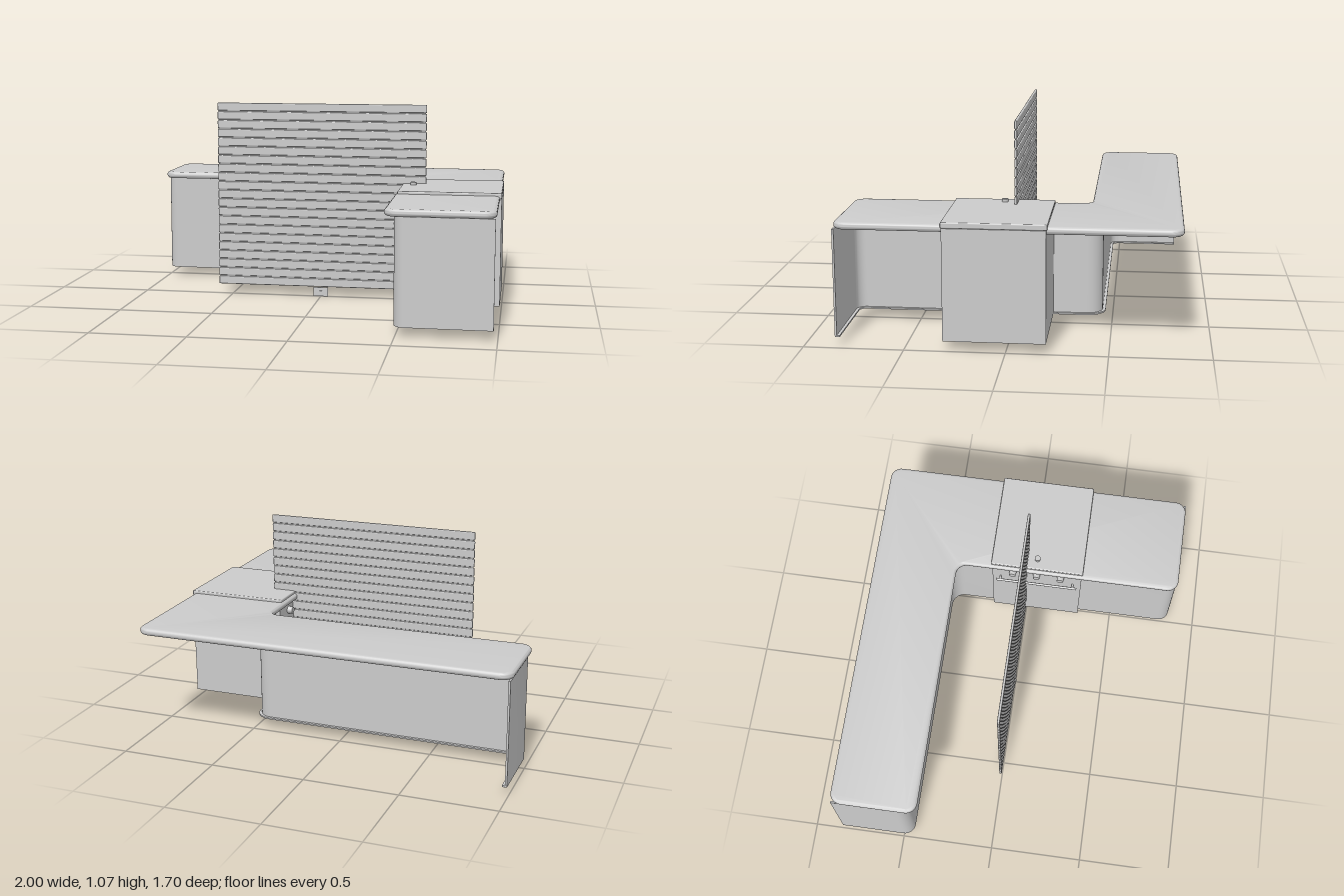
import * as THREE from 'three';
import { toCreasedNormals } from 'three/addons/utils/BufferGeometryUtils.js';
import { RoundedBoxGeometry } from 'three/addons/geometries/RoundedBoxGeometry.js';

const grey = new THREE.MeshStandardMaterial({ color: 0xcccccc, side: THREE.DoubleSide });

function add(parent, name, geometry, x = 0, y = 0, z = 0) {
  const mesh = new THREE.Mesh(geometry, grey);
  mesh.name = name;
  mesh.position.set(x, y, z);
  parent.add(mesh);
  return mesh;
}

const box = (w, h, d) => new THREE.BoxGeometry(w, h, d);

// Closed floor-plan outline from [x, z, cornerRadius] points
function plan(points) {
  const shape = new THREE.Shape();
  const n = points.length;
  points.forEach(([x, z, r], i) => {
    const p = new THREE.Vector2(x, -z);
    const toward = ([qx, qz]) => new THREE.Vector2(qx, -qz).sub(p).setLength(r).add(p);
    const a = r ? toward(points[(i + n - 1) % n]) : p;
    const b = r ? toward(points[(i + 1) % n]) : p;
    if (i === 0) shape.moveTo(a.x, a.y);
    else shape.lineTo(a.x, a.y);
    if (r) {
      const k = 0.448; // circular corner as a cubic
      const c1 = p.clone().lerp(a, k), c2 = p.clone().lerp(b, k);
      shape.bezierCurveTo(c1.x, c1.y, c2.x, c2.y, b.x, b.y);
    }
  });
  shape.closePath();
  return shape;
}

// Raise a plan outline from y0 to y1, with an optional rounded edge
function raise(shape, y0, y1, bevel = 0) {
  const g = new THREE.ExtrudeGeometry(shape, {
    depth: y1 - y0 - 2 * bevel, curveSegments: 8, bevelEnabled: bevel > 0,
    bevelThickness: bevel, bevelSize: bevel, bevelOffset: -bevel, bevelSegments: 5,
  });
  g.rotateX(-Math.PI / 2).translate(0, y0 + bevel, 0);
  return toCreasedNormals(g, 0.7);
}

// Thin panel following the knee side of the counter, open at the outer sides
function wallPlan(t) {
  return plan([
    [-0.995, -0.845, 0], [-0.995, -0.44, 0.06], [0.49, -0.44, 0.07], [0.49, 0.845, 0.06], [0.98, 0.845, 0],
    [0.98, 0.845 - t, 0], [0.49 + t, 0.845 - t, 0.06 - t], [0.49 + t, -0.44 - t, 0.07 + t],
    [-0.995 + t, -0.44 - t, 0.06 - t], [-0.995 + t, -0.845, 0],
  ]);
}

export function createModel() {
  const model = new THREE.Group();
  model.name = 'cornerCounter';

  // L-shaped worktop with rounded edge
  const top = plan([
    [-1, -0.85, 0.06], [-1, -0.39, 0.06], [0.44, -0.39, 0.06],
    [0.44, 0.845, 0.06], [0.985, 0.845, 0.06], [0.985, -0.85, 0.06],
  ]);
  add(model, 'worktop', raise(top, 0.593, 0.63, 0.017));

  // Wall panel and its foot flange
  add(model, 'wallPanel', raise(wallPlan(0.01), 0.05, 0.596));
  add(model, 'footFlange', raise(wallPlan(0.025), 0.05, 0.058));

  // Cabinet let into the right arm
  const cabinet = new THREE.Group();
  cabinet.name = 'cabinet';
  model.add(cabinet);
  add(cabinet, 'cabinetBody', box(0.53, 0.565, 0.505), 0.73, 0.3325, 0.056);
  add(cabinet, 'cabinetLid', new RoundedBoxGeometry(0.54, 0.03, 0.515, 2, 0.006), 0.725, 0.63, 0.056);
  add(cabinet, 'topKnob', new THREE.CylinderGeometry(0.016, 0.016, 0.016, 20), 0.515, 0.652, 0.052);
  for (const z of [-0.08, 0.055, 0.19]) {
    const knob = add(cabinet, 'controlKnob', new THREE.CylinderGeometry(0.018, 0.021, 0.03, 20), 0.452, 0.553, z);
    knob.rotation.z = Math.PI / 2;
  }

  // Door handle on two posts
  const handle = new THREE.Group();
  handle.name = 'doorHandle';
  cabinet.add(handle);
  const bar = add(handle, 'handleBar', new THREE.CylinderGeometry(0.007, 0.007, 0.46, 12), 0.44, 0.468, 0.056);
  bar.rotation.x = Math.PI / 2;
  for (const z of [-0.15, 0.262]) add(handle, 'handlePost', box(0.03, 0.01, 0.01), 0.453, 0.468, z);

  // Slatted screen
  const screen = new THREE.Group();
  screen.name = 'slattedScreen';
  model.add(screen);
  const slats = 21, pitch = 1.025 / slats;
  for (let i = 0; i < slats; i++) {
    add(screen, 'slat', new RoundedBoxGeometry(1.16, pitch - 0.005, 0.014, 2, 0.005), 0, 0.05 + pitch * (i + 0.5), -0.008);
  }
  // Narrow joints behind the gaps
  add(screen, 'slatJoint', box(1.15, 1.015, 0.004), 0, 0.5625, -0.008);

  // Small tab under the screen
  add(screen, 'bottomTab', box(0.08, 0.05, 0.005), 0, 0.025, -0.003);
  add(screen, 'tabPin', box(0.016, 0.006, 0.012), 0, 0.028, -0.001);

  return model;
}
